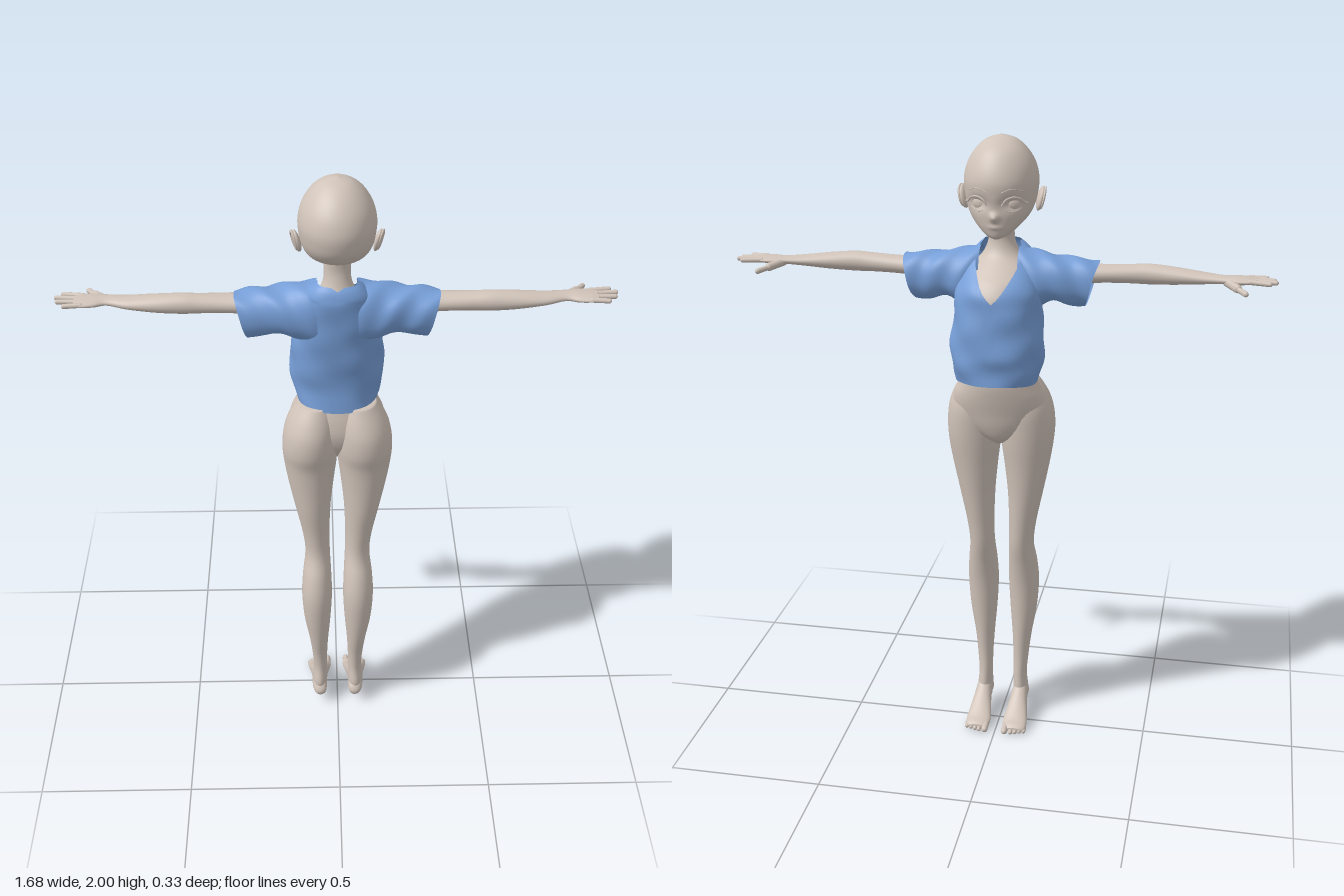
import * as THREE from 'three';

const skin = new THREE.MeshStandardMaterial({ color: 0xd0c3b9 });
skin.name = 'skin';
const cloth = new THREE.MeshStandardMaterial({ color: 0x779fd8, side: THREE.DoubleSide });
cloth.name = 'blue cloth';

// Catmull-Rom interpolation of a section list at u
function sample(secs, u) {
  const last = secs.length - 1;
  const i = Math.min(Math.floor(u), last - 1), t = u - i;
  const at = k => secs[Math.max(0, Math.min(last, k))];
  const [a, b, c, d] = [at(i - 1), at(i), at(i + 1), at(i + 2)];
  return b.map((_, k) => b[k] + 0.5 * t * (c[k] - a[k]
    + t * (2 * a[k] - 5 * b[k] + 4 * c[k] - d[k] + t * (3 * (b[k] - c[k]) + d[k] - a[k]))));
}

// Skin over sections [position, min1, max1, min2, max2], ascending along an axis.
// The other two values are z,x for axis y; y,z for axis x; x,y for axis z.
function loft(axis, secs, { seg = 36, steps = 5, power = 2, caps = true, top, warp } = {}) {
  const pos = [], index = [], rows = (secs.length - 1) * steps, last = secs.length - 1;
  const put = (a, b, c, u, th) => {
    const p = axis === 'x' ? [a, b, c] : axis === 'y' ? [c, a, b] : [b, c, a];
    const v = new THREE.Vector3(...p);
    if (warp) warp(v, u, th);
    pos.push(v.x, v.y, v.z);
  };
  const bend = w => Math.sign(w) * Math.abs(w) ** (2 / power);
  for (let i = 0; i <= rows; i++) for (let j = 0; j < seg; j++) {
    const th = j / seg * Math.PI * 2;
    const u = i / rows * (top ? top(th) : last);
    const [a, b0, b1, c0, c1] = sample(secs, u);
    put(a, (b0 + b1) / 2 + (b1 - b0) / 2 * bend(Math.cos(th)),
      (c0 + c1) / 2 + (c1 - c0) / 2 * bend(Math.sin(th)), u, th);
  }
  for (let i = 0; i < rows; i++) for (let j = 0; j < seg; j++) {
    const k = (j + 1) % seg, p = i * seg + j, q = i * seg + k;
    index.push(p, q, p + seg, q, q + seg, p + seg);
  }
  if (caps) [0, last].forEach(e => {
    const [a, b0, b1, c0, c1] = secs[e], n = pos.length / 3, r = e ? rows * seg : 0;
    put(a, (b0 + b1) / 2, (c0 + c1) / 2, e, 0);
    for (let j = 0; j < seg; j++) {
      const p = r + j, q = r + (j + 1) % seg;
      index.push(n, ...(e ? [p, q] : [q, p]));
    }
  });
  const g = new THREE.BufferGeometry();
  g.setAttribute('position', new THREE.Float32BufferAttribute(pos, 3));
  g.setIndex(index);
  g.computeVertexNormals();
  return g;
}

// Rounded rod between two points
function rod(a, b, r) {
  const p = new THREE.Vector3(...a), q = new THREE.Vector3(...b), d = q.clone().sub(p);
  const g = new THREE.CapsuleGeometry(r, d.length(), 5, 12);
  g.applyQuaternion(new THREE.Quaternion().setFromUnitVectors(new THREE.Vector3(0, 1, 0), d.normalize()));
  return g.translate(...p.add(q).multiplyScalar(0.5).toArray());
}

function mirrored(g) {
  const m = g.clone().scale(-1, 1, 1), ix = m.index.array;
  for (let i = 0; i < ix.length; i += 3) [ix[i], ix[i + 1]] = [ix[i + 1], ix[i]];
  m.computeVertexNormals();
  return m;
}

const even = rows => rows.map(([y, z0, z1, x]) => [y, z0, z1, -x, x]);
const bump = (x, y, sx, sy) => Math.exp(-((x / sx) ** 2) - (y / sy) ** 2);

export function createModel() {
  const model = new THREE.Group();
  model.name = 'figure';
  const add = (name, g, mat = skin) => {
    const m = new THREE.Mesh(g, mat);
    m.name = name;
    model.add(m);
  };
  const pair = (name, g, mat) => {
    add('left ' + name, g, mat);
    add('right ' + name, mirrored(g), mat);
  };

  // Head, facing -z, with sunken eyes, small nose and lips
  const headRows = even([
    [1.703, -0.066, -0.03, 0.01], [1.713, -0.077, 0.0, 0.034], [1.738, -0.084, 0.055, 0.064],
    [1.768, -0.088, 0.115, 0.09], [1.8, -0.09, 0.147, 0.104], [1.835, -0.096, 0.161, 0.111],
    [1.875, -0.098, 0.164, 0.113], [1.92, -0.083, 0.149, 0.102], [1.96, -0.055, 0.118, 0.077],
    [1.988, -0.012, 0.078, 0.044], [2.0, 0.028, 0.038, 0.005]]);
  const shapeFace = v => {
    if (v.z > 0) return;
    const x = Math.abs(v.x);
    v.z += 0.014 * bump(x - 0.05, v.y - 1.813, 0.026, 0.018);
    v.z -= 0.019 * bump(x, v.y - 1.773, 0.011, 0.012);
    v.z -= 0.004 * bump(x, v.y - 1.742, 0.02, 0.006);
  };
  add('head', loft('y', headRows, { seg: 80, steps: 7, warp: shapeFace }));
  const onFace = (x, y, lift) => {
    let u = 0;
    while (u < 9.9 && sample(headRows, u)[0] < y) u += 0.02;
    const [, z0, z1, , w] = sample(headRows, u);
    const z = (z0 + z1) / 2 - (z1 - z0) / 2 * Math.sqrt(Math.max(0, 1 - (x / w) ** 2));
    return new THREE.Vector3(x, y, z - lift);
  };
  const line = (pts, r) => new THREE.TubeGeometry(
    new THREE.CatmullRomCurve3(pts.map(p => onFace(...p))), 24, r, 6);
  pair('upper lash', line([[0.022, 1.808, 0], [0.034, 1.826, 0.001], [0.054, 1.834, 0.002],
    [0.074, 1.828, 0.004], [0.086, 1.815, 0.007], [0.094, 1.812, 0.014]], 0.003));
  pair('lower lash', line([[0.034, 1.793, 0], [0.054, 1.789, 0], [0.076, 1.798, 0.002]], 0.0015));
  pair('eyebrow', line([[0.022, 1.848, 0], [0.05, 1.858, 0], [0.08, 1.85, 0]], 0.0018));
  const eye = onFace(0.052, 1.811, -0.017);
  pair('eye', new THREE.SphereGeometry(1, 20, 14).scale(0.021, 0.019, 0.01).rotateY(-0.4)
    .translate(eye.x, eye.y, eye.z));

  // Ears
  const ear = new THREE.SphereGeometry(1, 18, 14).scale(0.011, 0.038, 0.025)
    .rotateX(0.2).rotateZ(-0.25).rotateY(-0.3);
  pair('ear', ear.translate(0.117, 1.81, 0.045));
  pair('ear rim', new THREE.TorusGeometry(0.02, 0.004, 8, 20).scale(1, 1.5, 1).rotateY(Math.PI / 2)
    .rotateX(0.2).rotateZ(-0.25).rotateY(-0.3).translate(0.124, 1.812, 0.045));

  // Neck, torso and hips in one skin
  add('torso', loft('y', even([
    [1.035, -0.03, 0.03, 0.02], [1.06, -0.06, 0.055, 0.06], [1.1, -0.078, 0.085, 0.12],
    [1.15, -0.09, 0.098, 0.15], [1.2, -0.102, 0.094, 0.146], [1.25, -0.11, 0.082, 0.123],
    [1.32, -0.11, 0.068, 0.108], [1.4, -0.115, 0.08, 0.108], [1.5, -0.13, 0.085, 0.11],
    [1.56, -0.105, 0.09, 0.105], [1.6, -0.06, 0.09, 0.095], [1.64, -0.015, 0.088, 0.06],
    [1.68, 0.0, 0.073, 0.042], [1.72, -0.004, 0.065, 0.04], [1.78, -0.01, 0.07, 0.038]]), { seg: 48 }));

  // Legs
  pair('leg', loft('y', [
    [0.05, 0.04, 0.1, 0.04, 0.085], [0.09, 0.025, 0.11, 0.037, 0.088], [0.15, 0.03, 0.1, 0.037, 0.083],
    [0.22, 0.035, 0.105, 0.036, 0.088], [0.3, 0.033, 0.122, 0.032, 0.097],
    [0.4, 0.028, 0.136, 0.024, 0.113], [0.5, 0.02, 0.14, 0.019, 0.12], [0.58, 0.006, 0.125, 0.021, 0.116],
    [0.66, -0.012, 0.096, 0.025, 0.107], [0.74, -0.022, 0.094, 0.026, 0.115],
    [0.85, -0.035, 0.105, 0.022, 0.137], [0.95, -0.048, 0.11, 0.012, 0.157],
    [1.03, -0.06, 0.116, 0.002, 0.17], [1.09, -0.067, 0.13, -0.002, 0.174],
    [1.15, -0.07, 0.129, -0.002, 0.168], [1.2, -0.062, 0.112, 0.0, 0.151],
    [1.25, -0.04, 0.085, 0.01, 0.12]]));

  // Feet and toes
  pair('foot', loft('z', [
    [-0.096, 0.038, 0.09, 0.004, 0.02], [-0.085, 0.026, 0.102, 0.001, 0.028],
    [-0.06, 0.022, 0.104, 0.003, 0.039], [-0.025, 0.026, 0.1, 0.013, 0.065],
    [0.01, 0.032, 0.094, 0.022, 0.095], [0.05, 0.036, 0.09, 0.034, 0.12],
    [0.09, 0.038, 0.088, 0.036, 0.1], [0.11, 0.042, 0.08, 0.04, 0.08], [0.118, 0.055, 0.068, 0.053, 0.064]]));
  for (let i = 0; i < 5; i++) {
    const r = i ? 0.0075 : 0.011, x = i ? 0.04 + i * 0.0145 : 0.034;
    pair('toe ' + (i + 1), rod([x, r + 0.005, -0.075], [x, r, -0.115 + r + i * 0.005], r));
  }

  // Arms and hands
  pair('arm', loft('x', [
    [0.08, 1.54, 1.64, -0.02, 0.07], [0.2, 1.552, 1.628, -0.03, 0.06], [0.3, 1.565, 1.622, -0.022, 0.055],
    [0.4, 1.567, 1.625, -0.012, 0.054], [0.46, 1.566, 1.628, -0.01, 0.055],
    [0.54, 1.57, 1.622, -0.016, 0.052], [0.62, 1.578, 1.613, -0.022, 0.042],
    [0.68, 1.584, 1.609, -0.028, 0.024], [0.72, 1.583, 1.609, -0.036, 0.035],
    [0.755, 1.587, 1.607, -0.037, 0.04], [0.778, 1.591, 1.604, -0.03, 0.034]], { seg: 28 }));
  [[-0.028, 0.822, -0.038], [-0.009, 0.84, -0.017], [0.011, 0.834, 0.008], [0.031, 0.812, 0.035]]
    .forEach(([z, tipX, tipZ], i) => pair('finger ' + (i + 1),
      rod([0.755, 1.598, z], [tipX - 0.007, 1.597, tipZ], 0.0075)));
  pair('thumb base', rod([0.69, 1.592, -0.015], [0.722, 1.584, -0.055], 0.013));
  pair('thumb tip', rod([0.722, 1.583, -0.056], [0.747, 1.578, -0.092], 0.0085));

  // Shirt body: raised front hem, V neckline, soft folds
  const shirtTop = th => {
    const d = Math.abs(th - Math.PI);
    if (d < 1.25) return 4.4 + 4.6 * d / 1.25;
    return 9 - 0.7 * Math.max(0, 1 - (Math.PI - d) / 0.3);
  };
  add('shirt body', loft('y', even([
    [1.24, -0.152, 0.09, 0.127], [1.3, -0.155, 0.081, 0.14], [1.36, -0.158, 0.086, 0.146],
    [1.43, -0.153, 0.095, 0.14], [1.5, -0.147, 0.102, 0.133], [1.55, -0.137, 0.107, 0.13],
    [1.6, -0.085, 0.109, 0.12], [1.64, -0.04, 0.11, 0.1], [1.665, 0.0, 0.102, 0.077],
    [1.68, 0.018, 0.09, 0.058]]), {
    seg: 72, steps: 6, power: 2.3, caps: false, top: shirtTop,
    warp: (v, u, th) => {
      const f = 1 + 0.015 * Math.sin(5 * th + 40 * v.y) + 0.01 * Math.sin(55 * v.y - 3 * th);
      v.x *= f;
      if (u < 7) v.z *= f;
      v.y += 0.012 * (1 - Math.cos(th)) * Math.max(0, 1 - u / 2);
    },
  }), cloth);

  // Sleeves: open, slanted cuffs
  pair('sleeve', loft('x', [
    [0.06, 1.47, 1.668, -0.045, 0.098], [0.12, 1.48, 1.654, -0.06, 0.1], [0.18, 1.502, 1.644, -0.055, 0.092],
    [0.24, 1.495, 1.638, -0.048, 0.086], [0.305, 1.488, 1.63, -0.042, 0.083]], {
    seg: 40, steps: 6, power: 2.2, caps: false,
    warp: (v, u, th) => {
      v.x -= 0.02 * (1 - Math.cos(th)) * u / 4;
      v.z += 0.003 * Math.sin(70 * v.x + 2 * th);
      v.y += 0.003 * Math.sin(60 * v.x + 3 * th);
    },
  }), cloth);

  return model;
}
